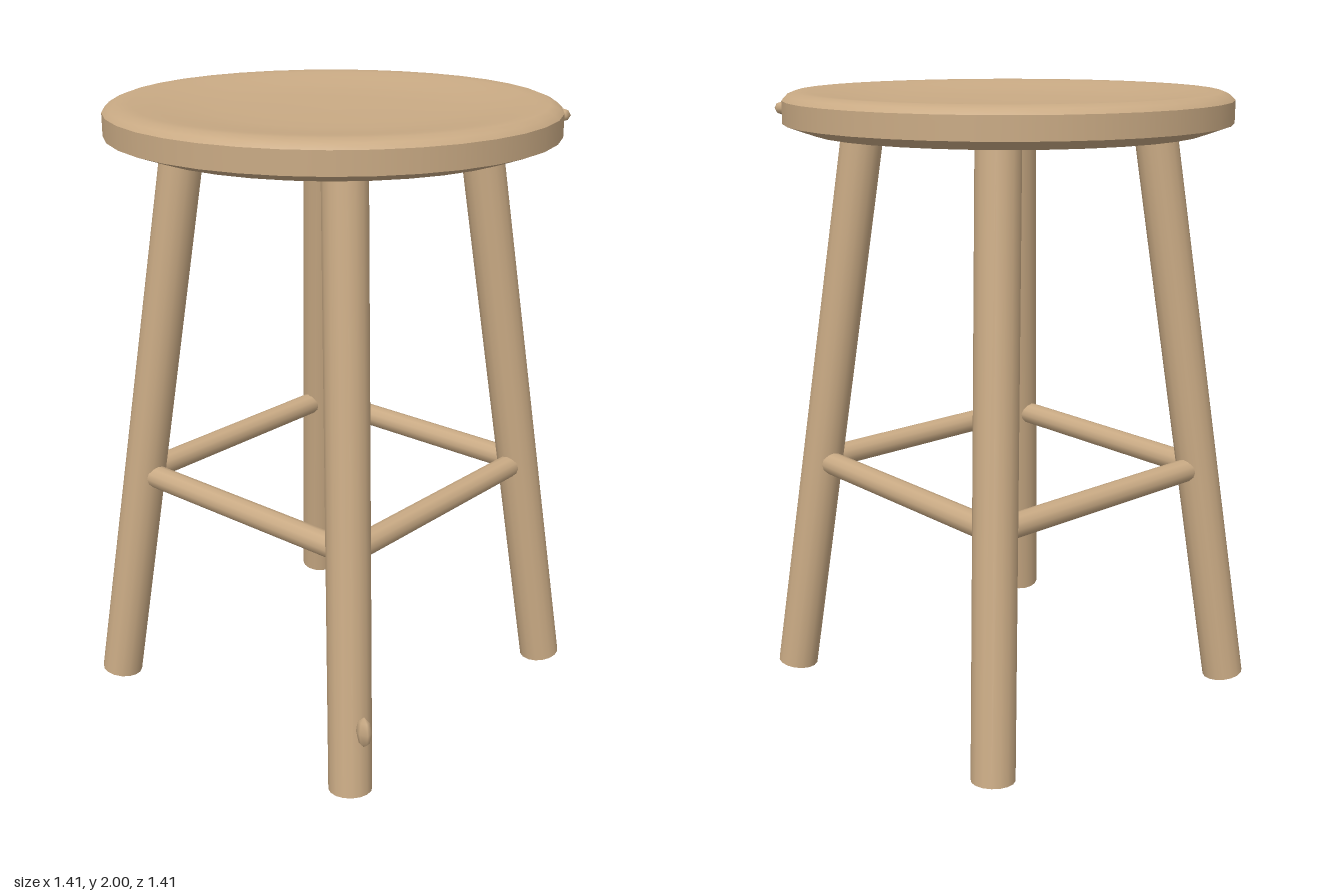
import * as THREE from 'three';

const SIDES = 36;

export function createModel() {
  const group = new THREE.Group();
  group.name = 'stool';
  const wood = new THREE.MeshStandardMaterial({ color: 0xc9aa84 });
  wood.name = 'lightWood';

  const add = (name, geometry, parent = group) => {
    const mesh = new THREE.Mesh(geometry, wood);
    mesh.name = name;
    parent.add(mesh);
    return mesh;
  };

  // round bar between two points
  const bar = (name, from, to, radius, sides) => {
    const dir = to.clone().sub(from);
    const mesh = add(name, new THREE.CylinderGeometry(radius, radius, dir.length(), sides));
    mesh.position.copy(from).add(to).multiplyScalar(0.5);
    mesh.quaternion.setFromUnitVectors(new THREE.Vector3(0, 1, 0), dir.normalize());
    return mesh;
  };

  // seat: separate bands keep the edges between them sharp
  const seat = new THREE.Group();
  seat.name = 'seat';
  group.add(seat);
  const bands = {
    seatUnderside: [[0, 1.875], [0.62, 1.875]],
    seatLowerBevel: [[0.62, 1.875], [0.705, 1.905]],
    seatRim: [[0.705, 1.905], [0.705, 1.975]],
    seatDishedTop: [[0.705, 1.975], [0.69, 1.99], [0.665, 2], [0.62, 1.998], [0.55, 1.99],
      [0.46, 1.979], [0.36, 1.971], [0.22, 1.967], [0, 1.965]],
  };
  for (const [name, profile] of Object.entries(bands)) {
    add(name, new THREE.LatheGeometry(profile.map(([r, y]) => new THREE.Vector2(r, y)), SIDES), seat);
  }

  // four splayed legs
  for (const sx of [-1, 1]) {
    for (const sz of [-1, 1]) {
      const name = (sz > 0 ? 'front' : 'back') + (sx > 0 ? 'Left' : 'Right') + 'Leg';
      bar(name, new THREE.Vector3(0.53 * sx, 0.013, 0.53 * sz),
        new THREE.Vector3(0.328 * sx, 1.873, 0.328 * sz), 0.068, 16);
    }
  }

  // four rungs in a square between the legs
  const rungY = 0.767, rungOut = 0.45, rungHalf = 0.397;
  for (const s of [-1, 1]) {
    bar(s > 0 ? 'frontRung' : 'backRung', new THREE.Vector3(-rungHalf, rungY, rungOut * s),
      new THREE.Vector3(rungHalf, rungY, rungOut * s), 0.038, 12);
    bar(s > 0 ? 'leftRung' : 'rightRung', new THREE.Vector3(rungOut * s, rungY, -rungHalf),
      new THREE.Vector3(rungOut * s, rungY, rungHalf), 0.038, 12);
  }

  // small raised splinters on the rim and on one leg
  const rimSplinter = add('rimSplinter', new THREE.SphereGeometry(1, 6, 4));
  rimSplinter.scale.set(0.027, 0.021, 0.03);
  rimSplinter.position.set(0.512, 1.941, 0.502);
  const legSplinter = add('legSplinter', new THREE.SphereGeometry(1, 6, 4));
  legSplinter.scale.set(0.02, 0.052, 0.028);
  legSplinter.position.set(-0.531, 0.24, 0.583);

  return group;
}
